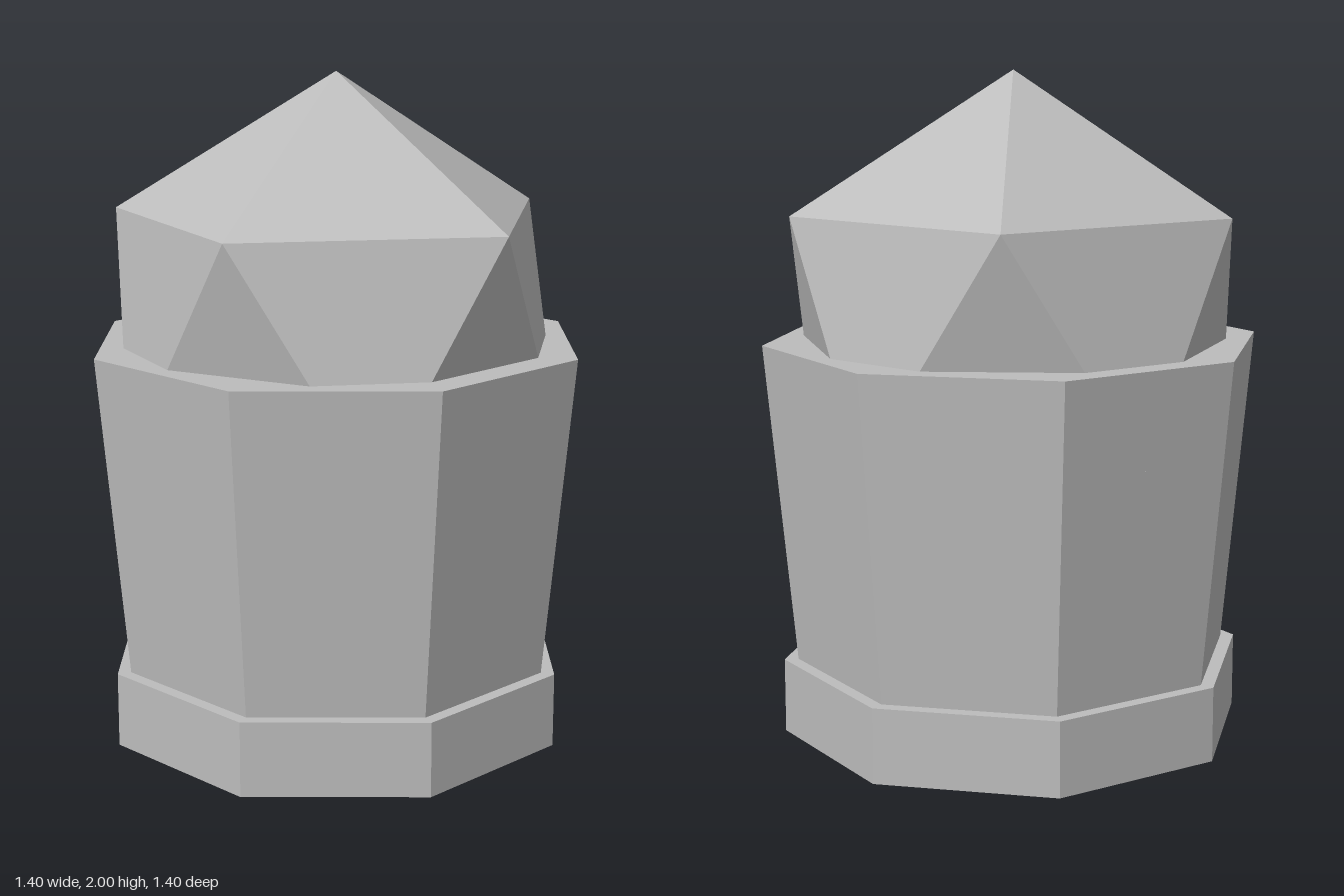
import * as THREE from 'three';

export function createModel() {
  const group = new THREE.Group();
  const stone = new THREE.MeshStandardMaterial({ color: 0xbcbcbc, flatShading: true });
  stone.name = 'grey stone';

  const add = (name, geometry, y) => {
    const mesh = new THREE.Mesh(geometry, stone);
    mesh.name = name;
    mesh.position.y = y;
    group.add(mesh);
  };

  // Octagonal prism sized by the distance from its axis to its flat sides
  const octagon = (name, topFlat, bottomFlat, y0, y1) => {
    const k = 1 / Math.cos(Math.PI / 8);
    const geometry = new THREE.CylinderGeometry(topFlat * k, bottomFlat * k, y1 - y0, 8, 1, false, Math.PI / 8);
    add(name, geometry, (y0 + y1) / 2);
  };

  // Plinth and flared body
  octagon('base', 0.655, 0.655, 0, 0.226);
  octagon('body', 0.699, 0.616, 0.226, 1.196);

  // Faceted dome: an icosahedron standing on a vertex, half sunk in the body
  const dome = new THREE.IcosahedronGeometry(0.755, 0);
  dome.rotateZ(-Math.atan(2 / (1 + Math.sqrt(5))));
  add('dome', dome, 1.245);

  return group;
}
